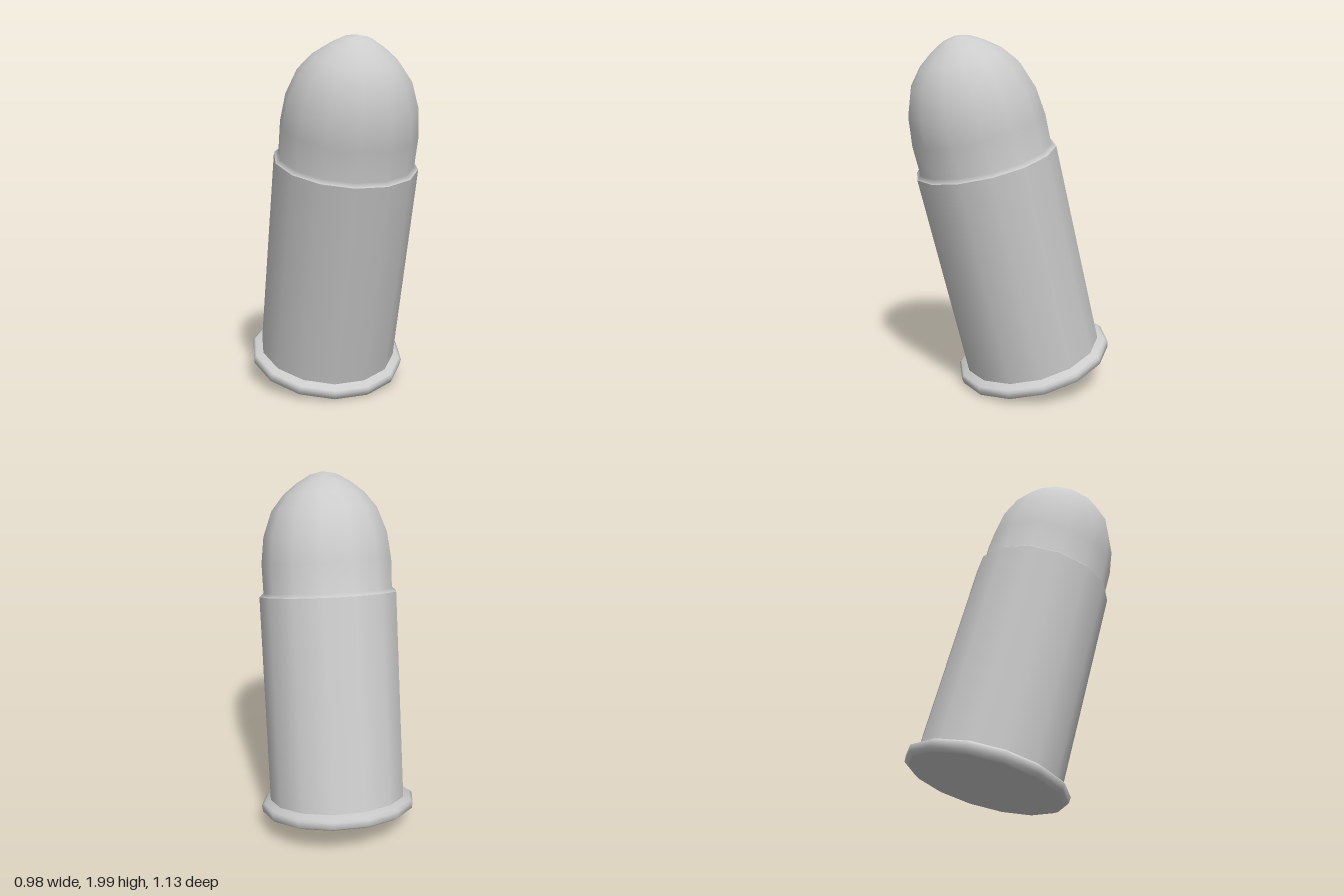
import * as THREE from 'three';

const SIDES = 14;

// Turned part: [radius, height along the axis] pairs, bottom to top
function turned(name, profile) {
  const points = profile.map(([r, h]) => new THREE.Vector2(r, h));
  const geometry = new THREE.LatheGeometry(points, SIDES, Math.PI / SIDES);
  const material = new THREE.MeshStandardMaterial({ color: 0xcccccc });
  const mesh = new THREE.Mesh(geometry, material);
  mesh.name = name;
  return mesh;
}

export function createModel() {
  const model = new THREE.Group();
  model.name = 'cartridge';

  const round = new THREE.Group();
  round.name = 'tiltedRound';
  round.add(
    // flat head of the case
    turned('caseHead', [[0, 0], [0.42, 0]]),
    // flared rim running into the case wall
    turned('rim', [[0.42, 0], [0.445, 0.015], [0.45, 0.05], [0.435, 0.062], [0.396, 0.08]]),
    // straight case wall
    turned('caseWall', [[0.396, 0.08], [0.396, 1.265]]),
    // case mouth lip and domed nose
    turned('nose', [
      [0.396, 1.265], [0.372, 1.285], [0.374, 1.45], [0.355, 1.6], [0.303, 1.74],
      [0.23, 1.83], [0.152, 1.89], [0.075, 1.935], [0, 1.952],
    ]),
  );

  // Lean the round forward and to its left
  const axis = new THREE.Vector3(0.115, 1, 0.24).normalize();
  round.quaternion.setFromUnitVectors(new THREE.Vector3(0, 1, 0), axis);
  round.position.set(-0.052, 0.11, -0.14);

  model.add(round);
  return model;
}
